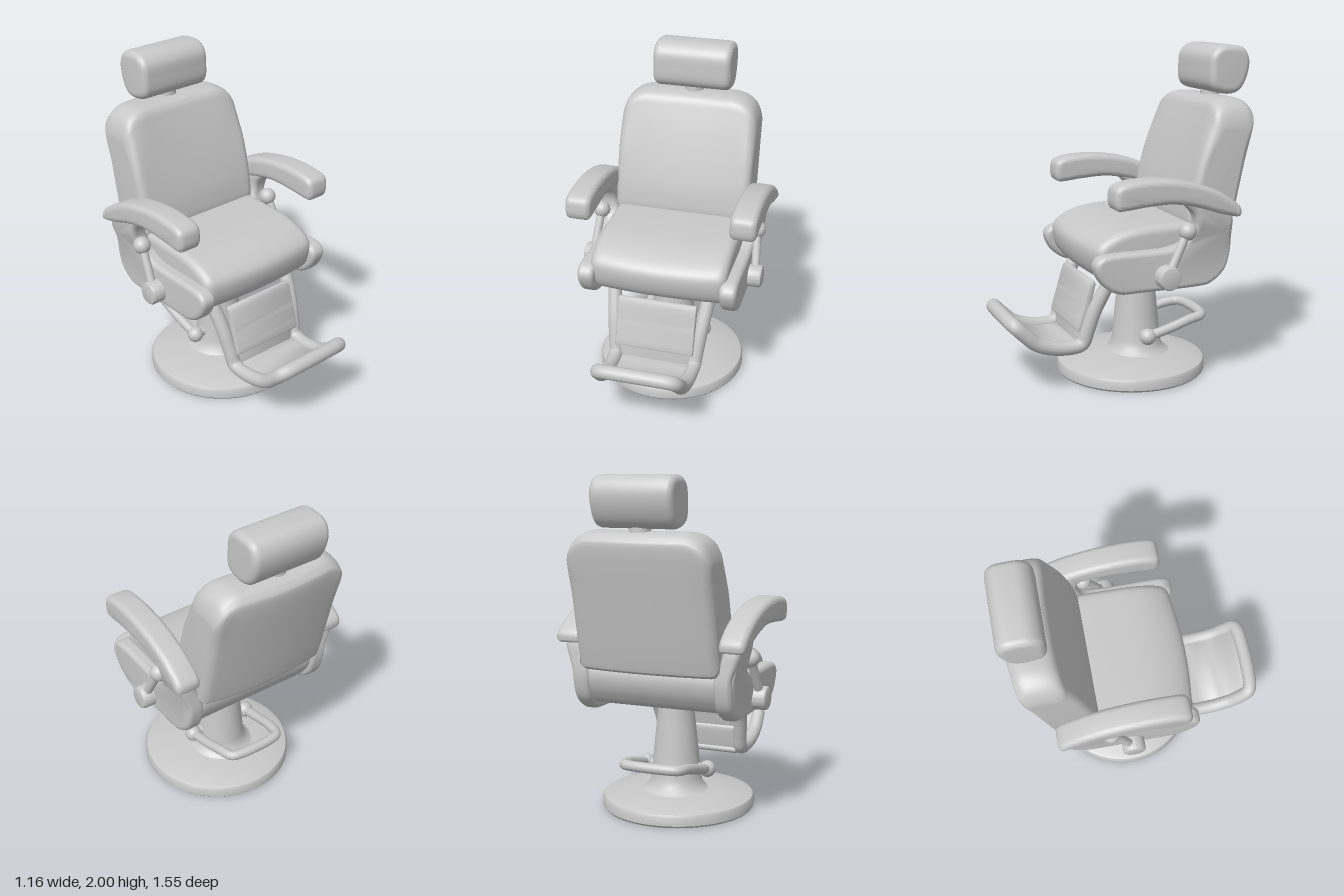
import * as THREE from 'three';
import { toCreasedNormals } from 'three/addons/utils/BufferGeometryUtils.js';

const V = (x, y, z) => new THREE.Vector3(x, y, z);

export function createModel() {
  const chair = new THREE.Group();
  chair.name = 'barberChair';
  const grey = new THREE.MeshStandardMaterial({ color: 0xc8c8c8 });
  grey.name = 'light grey';

  const add = (name, geometry, parent = chair) => {
    const mesh = new THREE.Mesh(geometry, grey);
    mesh.name = name;
    parent.add(mesh);
    return mesh;
  };

  // Side profile [z, y] smoothed and extruded from x0 to x1 with round edges
  const slab = (profile, x0, x1, bevel, rule, tension = 0.5) => {
    const curve = new THREE.CatmullRomCurve3(
      profile.map(([z, y]) => V(-z, y, 0)), true, 'catmullrom', tension);
    const outline = curve.getPoints(profile.length * 6).slice(0, -1)
      .map((p) => new THREE.Vector2(p.x, p.y));
    const geo = new THREE.ExtrudeGeometry(new THREE.Shape(outline), {
      depth: x1 - x0 - 2 * bevel, steps: rule ? 28 : 1,
      bevelSize: bevel, bevelThickness: bevel, bevelOffset: -bevel, bevelSegments: 6,
    });
    geo.rotateY(Math.PI / 2).translate(x0 + bevel, 0, 0);
    if (rule) {
      const pos = geo.attributes.position;
      const v = new THREE.Vector3();
      for (let i = 0; i < pos.count; i++) {
        rule(v.fromBufferAttribute(pos, i));
        pos.setXYZ(i, v.x, v.y, v.z);
      }
    }
    geo.deleteAttribute('uv');
    geo.deleteAttribute('normal');
    return toCreasedNormals(geo, 0.75);
  };

  const tube = (points, r, segments = 80) => new THREE.TubeGeometry(
    new THREE.CatmullRomCurve3(points, false, 'centripetal'), segments, r, 14);

  const ball = (r, x, y, z) => new THREE.SphereGeometry(r, 24, 16).translate(x, y, z);

  const lathe = (points) => toCreasedNormals(
    new THREE.LatheGeometry(points.map(([r, y]) => new THREE.Vector2(r, y)), 64), 0.6);

  // Round base and tapering column
  add('base', lathe([[0, 0], [0.45, 0], [0.46, 0.012], [0.46, 0.06], [0.452, 0.075],
    [0.435, 0.082], [0.3, 0.105], [0.15, 0.125], [0, 0.125]])).position.z = -0.1;
  add('column', lathe([[0.22, 0.105], [0.185, 0.125], [0.16, 0.155], [0.15, 0.2],
    [0.135, 0.35], [0.118, 0.52], [0.108, 0.62], [0.11, 0.7], [0, 0.7]])).position.z = -0.135;

  // Pump pedal: axle, two end balls and a loop behind the column
  add('pedalAxle', new THREE.CylinderGeometry(0.03, 0.03, 0.4, 16)
    .rotateZ(Math.PI / 2).translate(0, 0.25, -0.13));
  for (const s of [1, -1]) add('pedalBall', ball(0.05, s * 0.2, 0.25, -0.13));
  add('pedalLoop', tube([V(0.2, 0.25, -0.13), V(0.2, 0.285, -0.27), V(0.19, 0.325, -0.42),
    V(0.17, 0.335, -0.5), V(0.12, 0.338, -0.522), V(-0.12, 0.338, -0.522),
    V(-0.17, 0.335, -0.5), V(-0.19, 0.325, -0.42), V(-0.2, 0.285, -0.27),
    V(-0.2, 0.25, -0.13)], 0.03));

  // Seat cushion, slightly bowed at the front
  add('seat', slab([[0.31, 0.83], [0.27, 0.91], [0.12, 0.97], [-0.1, 0.99], [-0.42, 0.98],
    [-0.52, 0.87], [-0.48, 0.73], [-0.36, 0.66], [0.1, 0.66], [0.26, 0.7]],
  -0.42, 0.42, 0.05, (v) => {
    if (v.z > 0) v.z -= 0.12 * v.z * (v.x / 0.42) ** 2;
  }));

  // Backrest with rounded shoulders and a bowed back
  add('backrest', slab([[-0.3, 0.96], [-0.3, 1.08], [-0.335, 1.23], [-0.4, 1.43], [-0.46, 1.59],
    [-0.5, 1.67], [-0.57, 1.695], [-0.68, 1.69], [-0.735, 1.66], [-0.75, 1.59],
    [-0.69, 1.29], [-0.615, 0.95], [-0.59, 0.9], [-0.53, 0.89], [-0.4, 0.92]],
  -0.43, 0.43, 0.05, (v) => {
    const ax = Math.min(Math.abs(v.x), 0.43);
    const k = THREE.MathUtils.smoothstep(v.y, 1.3, 1.7);
    const d = Math.max(ax - 0.27, 0);
    v.y -= k * (0.165 - Math.sqrt(0.165 ** 2 - d * d));
    v.z += 0.045 * (ax / 0.43) ** 2 * THREE.MathUtils.clamp((-0.3 - v.z) / 0.3, 0, 1);
  }));

  // Headrest on a short post
  add('headrestPost', new THREE.CylinderGeometry(0.055, 0.065, 0.16, 24)
    .translate(0, 1.7, -0.625));
  add('headrest', slab([[-0.51, 1.86], [-0.52, 1.94], [-0.57, 1.99], [-0.64, 2.0], [-0.73, 1.985],
    [-0.772, 1.92], [-0.765, 1.83], [-0.72, 1.74], [-0.65, 1.71], [-0.56, 1.725],
    [-0.515, 1.77]], -0.245, 0.245, 0.04));

  // Side panels, armrests and recline levers, mirrored by placement
  for (const s of [1, -1]) {
    const side = new THREE.Group();
    side.name = s > 0 ? 'leftSide' : 'rightSide';
    chair.add(side);
    const span = (a, b) => (s > 0 ? [a, b] : [-b, -a]);

    // C-shaped panel leaning outward towards the armrest
    add('sidePanel', slab([[0.315, 0.79], [0.28, 0.845], [0.2, 0.86], [0, 0.86], [-0.14, 0.865],
      [-0.24, 0.9], [-0.285, 0.98], [-0.275, 1.06], [-0.22, 1.13], [-0.25, 1.17],
      [-0.42, 1.13], [-0.51, 1.06], [-0.53, 0.95], [-0.535, 0.83], [-0.5, 0.71],
      [-0.42, 0.64], [-0.33, 0.62], [0, 0.62], [0.17, 0.625], [0.27, 0.69]],
    ...span(0.385, 0.49), 0.03, (v) => {
      v.x += s * 0.05 * THREE.MathUtils.smoothstep(v.y, 0.85, 1.05);
    }), side);

    add('armrest', slab([[0.232, 1.2], [0.215, 1.255], [0.14, 1.28], [0, 1.288], [-0.15, 1.275],
      [-0.3, 1.24], [-0.43, 1.185], [-0.54, 1.11], [-0.558, 1.06], [-0.535, 1.038],
      [-0.42, 1.065], [-0.28, 1.11], [-0.12, 1.14], [0.05, 1.135], [0.19, 1.123],
      [0.225, 1.145]], ...span(0.42, 0.578), 0.035), side);

    add('leverPivot', lathe([[0, -0.05], [0.07, -0.05], [0.07, 0.035], [0.064, 0.046],
      [0.052, 0.05], [0, 0.05]]).rotateZ(-s * Math.PI / 2)
      .translate(s * 0.523, 0.71, -0.11), side);
    add('leverRod', tube([V(s * 0.525, 0.71, -0.11), V(s * 0.505, 0.97, -0.24)], 0.026, 4), side);
    add('leverKnob', ball(0.053, s * 0.505, 0.965, -0.24), side);
  }

  // Footrest frame: one bent bar running down, forward and back up
  const half = [[0.3, 0.7, 0.14], [0.29, 0.62, 0.18], [0.272, 0.48, 0.245], [0.258, 0.36, 0.283],
    [0.25, 0.285, 0.31], [0.248, 0.267, 0.35], [0.246, 0.272, 0.48], [0.244, 0.31, 0.59],
    [0.242, 0.37, 0.66], [0.23, 0.42, 0.71], [0.19, 0.435, 0.727]];
  add('footrestFrame', tube([
    ...half.map(([x, y, z]) => V(x, y, z)),
    ...half.slice().reverse().map(([x, y, z]) => V(-x, y, z)),
  ], 0.043, 160));

  // Foot plate and calf panel set between the bars
  add('footPlate', slab([[0.29, 0.24], [0.4, 0.232], [0.52, 0.25], [0.62, 0.305], [0.72, 0.4],
    [0.7, 0.43], [0.6, 0.345], [0.5, 0.285], [0.4, 0.27], [0.29, 0.275]], -0.23, 0.23, 0.008));
  add('calfPanel', slab([[0.225, 0.635], [0.26, 0.638], [0.3, 0.51], [0.34, 0.37], [0.325, 0.355],
    [0.29, 0.37], [0.255, 0.51]], -0.245, 0.245, 0.01));
  add('calfSupport', slab([[0.27, 0.4], [0.3, 0.4], [0.325, 0.25], [0.295, 0.25]], -0.23, 0.23, 0.006));

  return chair;
}
